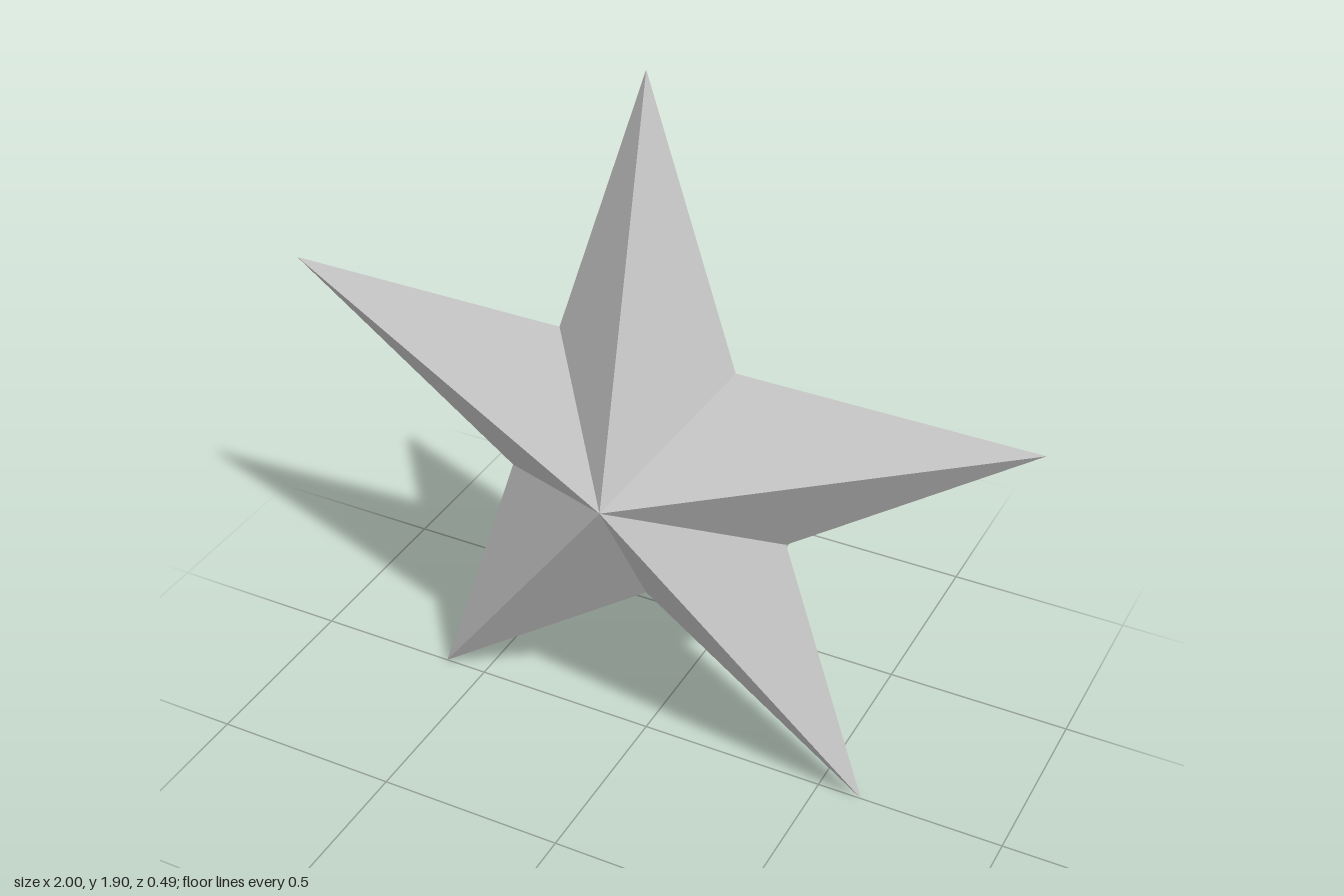
import * as THREE from 'three';

const POINTS = 5;
const OUTER = 1 / Math.sin(Math.PI * 2 / POINTS); // tips span 2 units in x
const INNER = OUTER * 0.382;                      // notches of a regular pentagram
const CENTRE_Y = OUTER * Math.cos(Math.PI / POINTS); // lower tips rest on y = 0
const DEPTH = 0.245;

// Rim corner i, counter-clockwise from the top tip; odd corners are notches
function rim(i) {
  const a = Math.PI / 2 + i * Math.PI / POINTS;
  const r = i % 2 ? INNER : OUTER;
  return [r * Math.cos(a), CENTRE_Y + r * Math.sin(a), 0];
}

export function createModel() {
  // Each rim edge joins to the front apex and to the back apex
  const positions = [];
  for (let i = 0; i < POINTS * 2; i++) {
    const a = rim(i), b = rim(i + 1);
    positions.push(0, CENTRE_Y, DEPTH, ...a, ...b);
    positions.push(0, CENTRE_Y, -DEPTH, ...b, ...a);
  }
  const geometry = new THREE.BufferGeometry();
  geometry.setAttribute('position', new THREE.Float32BufferAttribute(positions, 3));
  geometry.computeVertexNormals();

  const star = new THREE.Mesh(
    geometry,
    new THREE.MeshStandardMaterial({ color: 0xcccccc, flatShading: true })
  );
  star.name = 'facetedStar';

  const group = new THREE.Group();
  group.name = 'star';
  group.add(star);
  return group;
}
